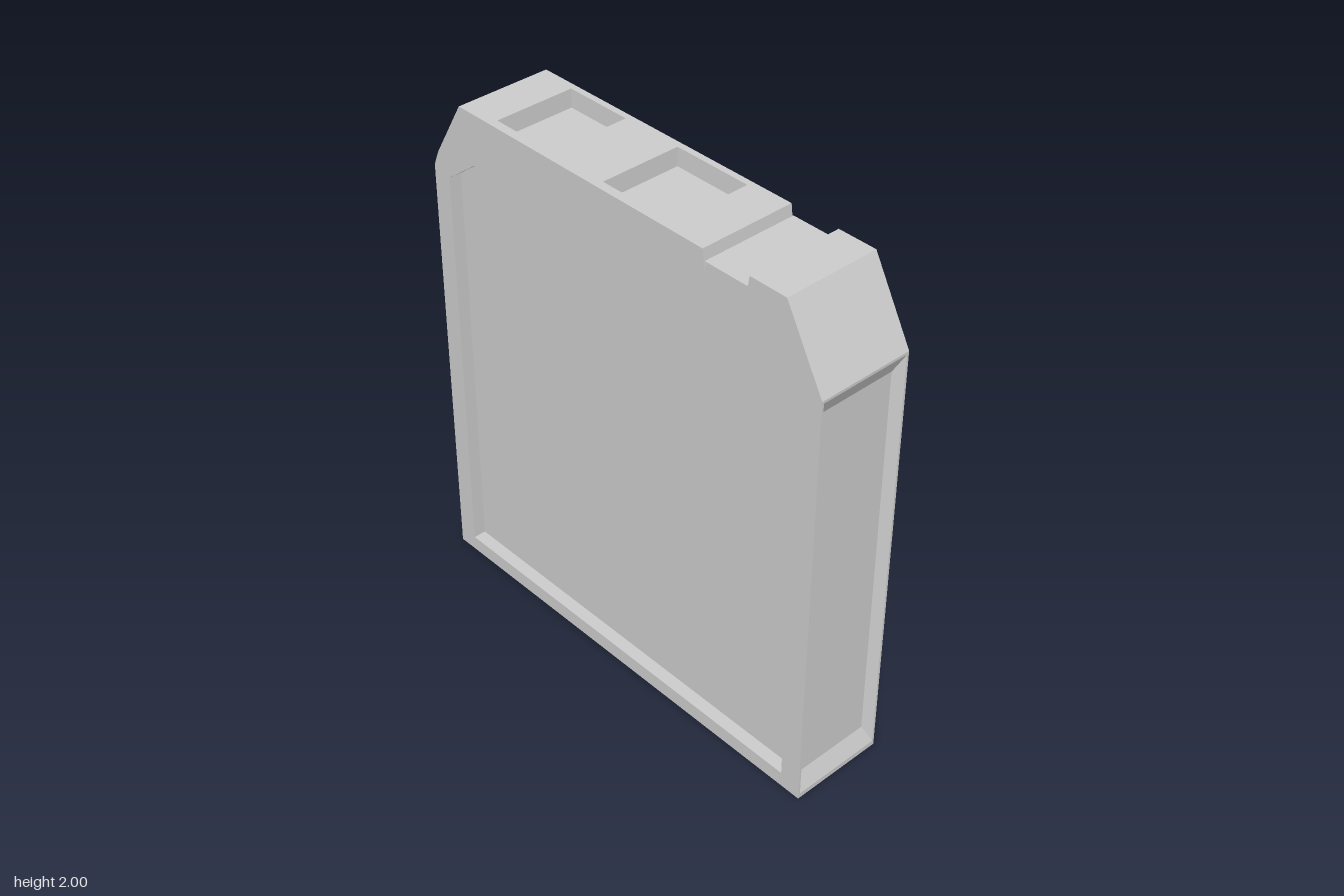
import * as THREE from 'three';

const grey = new THREE.MeshStandardMaterial({ color: 0xcccccc, side: THREE.DoubleSide });
grey.name = 'light grey';

const Z = 0.19, W = 0.925, TOP = 2, SHOULDER = 1.71;

// Flat-shaded mesh from planar convex polygons, each a list of [x, y, z]
function polys(name, faces) {
  const pos = [];
  for (const f of faces)
    for (let i = 1; i < f.length - 1; i++) pos.push(...f[0], ...f[i], ...f[i + 1]);
  const g = new THREE.BufferGeometry();
  g.setAttribute('position', new THREE.Float32BufferAttribute(pos, 3));
  g.computeVertexNormals();
  const m = new THREE.Mesh(g, grey);
  m.name = name;
  return m;
}

// Quads joining two loops of equal length
const loft = (a, b) => a.map((p, i) => {
  const j = (i + 1) % a.length;
  return [p, a[j], b[j], b[i]];
});

// Flat plate from a 2D outline with holes
function plate(name, outline, holes = []) {
  const vec = (l) => l.map(([x, y]) => new THREE.Vector2(x, y));
  const s = new THREE.Shape(vec(outline));
  for (const h of holes) s.holes.push(new THREE.Path(vec(h)));
  const m = new THREE.Mesh(new THREE.ShapeGeometry(s), grey);
  m.name = name;
  return m;
}

const rect = (x0, x1, y0, y1) => [[x0, y0], [x1, y0], [x1, y1], [x0, y1]];

export function createModel() {
  const root = new THREE.Group();
  root.name = 'cartridge';

  // Body outline, with clipped shoulders and the notch in the top edge
  const outline = [
    [-W, 0], [W, 0], [W, SHOULDER], [0.765, TOP], [0.61, TOP], [0.6, 1.925], [0.595, 1.96],
    [0.43, 1.96], [0.42, 1.925], [0.41, TOP], [-0.765, TOP], [-0.9, 1.77], [-W, SHOULDER],
  ];
  const panel = [[-0.845, 0.06], [0.84, 0.06], [0.84, 1.69], [0.69, 1.8], [-0.7, 1.8], [-0.845, 1.69]];

  // Front and back frames with sunken panels
  for (const s of [1, -1]) {
    const side = new THREE.Group();
    side.name = s > 0 ? 'front' : 'back';
    const frame = plate('frame', outline, [panel]);
    frame.position.z = Z;
    const floor = plate('sunkenPanel', panel);
    floor.position.z = 0.14;
    const walls = polys('panelWalls', loft(panel.map(([x, y]) => [x, y, Z]), panel.map(([x, y]) => [x, y, 0.14])));
    side.add(frame, floor, walls);
    side.scale.z = s;
    root.add(side);
  }

  // Bottom, shoulders and the short top piece beside the notch
  const strip = (a, b) => [[...a, Z], [...b, Z], [...b, -Z], [...a, -Z]];
  root.add(polys('bottom', [strip(outline[0], outline[1])]));
  root.add(polys('shoulders', [[2, 3], [10, 11], [11, 12]].map(([i, j]) => strip(outline[i], outline[j]))));
  root.add(polys('topEnd', [strip(outline[3], outline[4])]));

  // Top face with two square pockets
  const pockets = [[-0.605, -0.33], [-0.08, 0.24]];
  const z0 = -0.165, z1 = 0.155;
  const top = plate('top', rect(-0.765, 0.41, -Z, Z), pockets.map(([a, b]) => rect(a, b, -z1, -z0)));
  top.rotation.x = -Math.PI / 2;
  top.position.y = TOP;
  root.add(top);
  for (const [a, b] of pockets) {
    const upper = rect(a, b, z0, z1).map(([x, z]) => [x, TOP, z]);
    const lower = rect(a + 0.003, b - 0.01, z0 + 0.003, z1 - 0.01).map(([x, z]) => [x, TOP - 0.07, z]);
    root.add(polys('pocket', [...loft(upper, lower), lower]));
  }

  // Notch: level floor and sloping ends
  const notchFloor = strip([0.42, 1.96], [0.6, 1.96]);
  root.add(polys('notchFloor', [notchFloor]));
  root.add(polys('notchEnds', [strip([0.41, TOP], [0.42, 1.925]), strip([0.61, TOP], [0.6, 1.925])]));

  // Sides with a bevelled shallow recess inside a thin rim
  for (const s of [1, -1]) {
    const loop = (x, hz, y0, y1) => rect(-hz, hz, y0, y1).map(([z, y]) => [s * x, y, z]);
    const outer = loop(W, Z, 0, SHOULDER);
    const rim = loop(W, 0.182, 0.02, 1.7);
    const floor = loop(W - 0.03, 0.152, 0.09, 1.635);
    root.add(polys(s > 0 ? 'leftSide' : 'rightSide', [...loft(outer, rim), ...loft(rim, floor), floor]));
  }
  return root;
}
